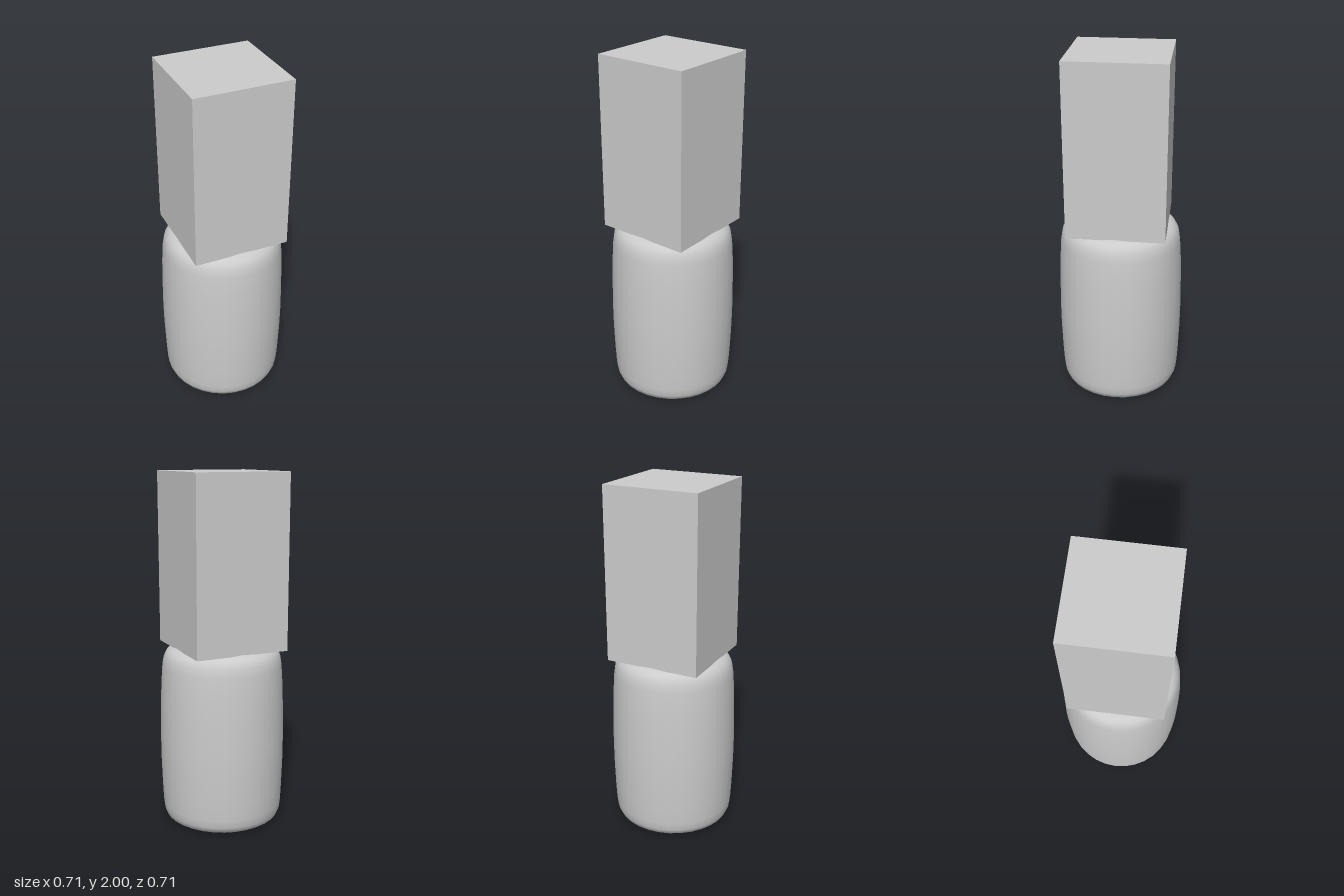
import * as THREE from 'three';

export function createModel() {
  const model = new THREE.Group();
  const material = new THREE.MeshStandardMaterial({ color: 0xcccccc });

  // Rounded bottle body: radius and height from the base centre to the top centre
  const profile = [
    [0, 0.017], [0.15, 0.014], [0.22, 0.007], [0.27, 0.005], [0.305, 0.012], [0.328, 0.026],
    [0.341, 0.055], [0.346, 0.1], [0.351, 0.2], [0.356, 0.36], [0.357, 0.5],
    [0.354, 0.66], [0.35, 0.8], [0.342, 0.92], [0.334, 0.97], [0.319, 1.0],
    [0.298, 1.02], [0.27, 1.033], [0.2, 1.04], [0, 1.04],
  ].map(([r, y]) => new THREE.Vector2(r, y));
  const bottle = new THREE.Mesh(new THREE.LatheGeometry(profile, 32), material);
  bottle.name = 'bottle';
  model.add(bottle);

  // Square cap resting on the shoulder
  const capBottom = 1.027;
  const capHeight = 2 - capBottom;
  const cap = new THREE.Mesh(new THREE.BoxGeometry(0.545, capHeight, 0.545), material);
  cap.position.y = capBottom + capHeight / 2;
  cap.name = 'cap';
  model.add(cap);

  return model;
}
